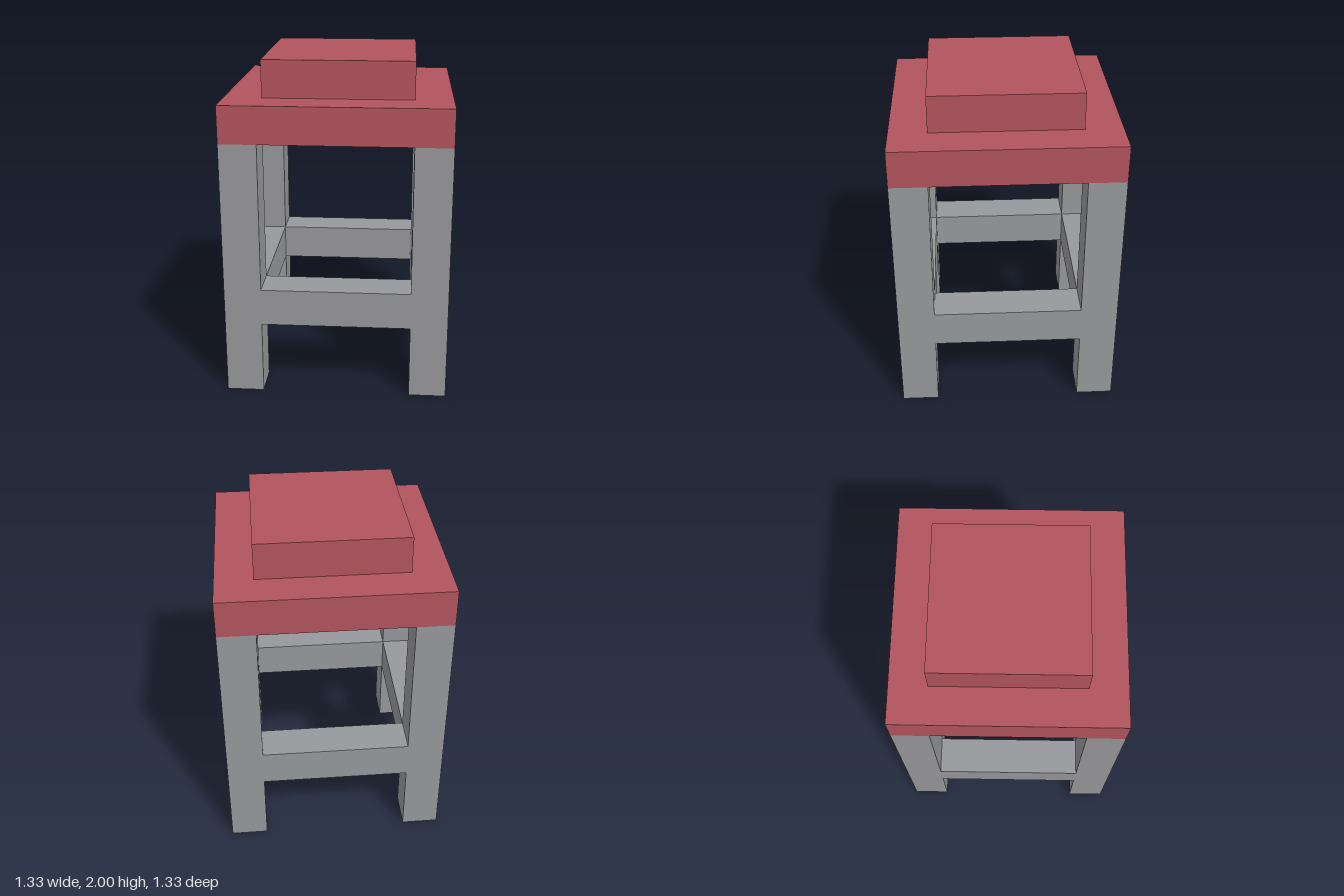
import * as THREE from 'three';

const U = 2 / 9; // every dimension is a multiple of this block size

export function createModel() {
  const model = new THREE.Group();
  model.name = 'stool';

  const frameGrey = new THREE.MeshStandardMaterial({ color: 0x97989b });
  frameGrey.name = 'frameGrey';
  const seatRed = new THREE.MeshStandardMaterial({ color: 0xb2545e });
  seatRed.name = 'seatRed';

  // Box sized and placed in block units; y is the underside
  function addBox(name, material, [w, h, d], [x, y, z]) {
    const mesh = new THREE.Mesh(new THREE.BoxGeometry(w * U, h * U, d * U), material);
    mesh.position.set(x * U, (y + h / 2) * U, z * U);
    mesh.name = name;
    model.add(mesh);
  }

  // Four square corner legs
  for (const [sideName, x] of [['Left', 2.5], ['Right', -2.5]]) {
    addBox(`front${sideName}Leg`, frameGrey, [1, 7, 1], [x, 0, 2.5]);
    addBox(`back${sideName}Leg`, frameGrey, [1, 7, 1], [x, 0, -2.5]);
    // Side stretcher between the front and back legs
    addBox(`side${sideName}Stretcher`, frameGrey, [1, 1, 4], [x, 2, 0]);
  }

  // Front and back stretchers
  addBox('frontStretcher', frameGrey, [4, 1, 1], [0, 2, 2.5]);
  addBox('backStretcher', frameGrey, [4, 1, 1], [0, 2, -2.5]);

  // Seat slab with a smaller raised cushion
  addBox('seat', seatRed, [6, 1, 6], [0, 7, 0]);
  addBox('cushion', seatRed, [4, 1, 4], [0, 8, 0]);

  return model;
}
